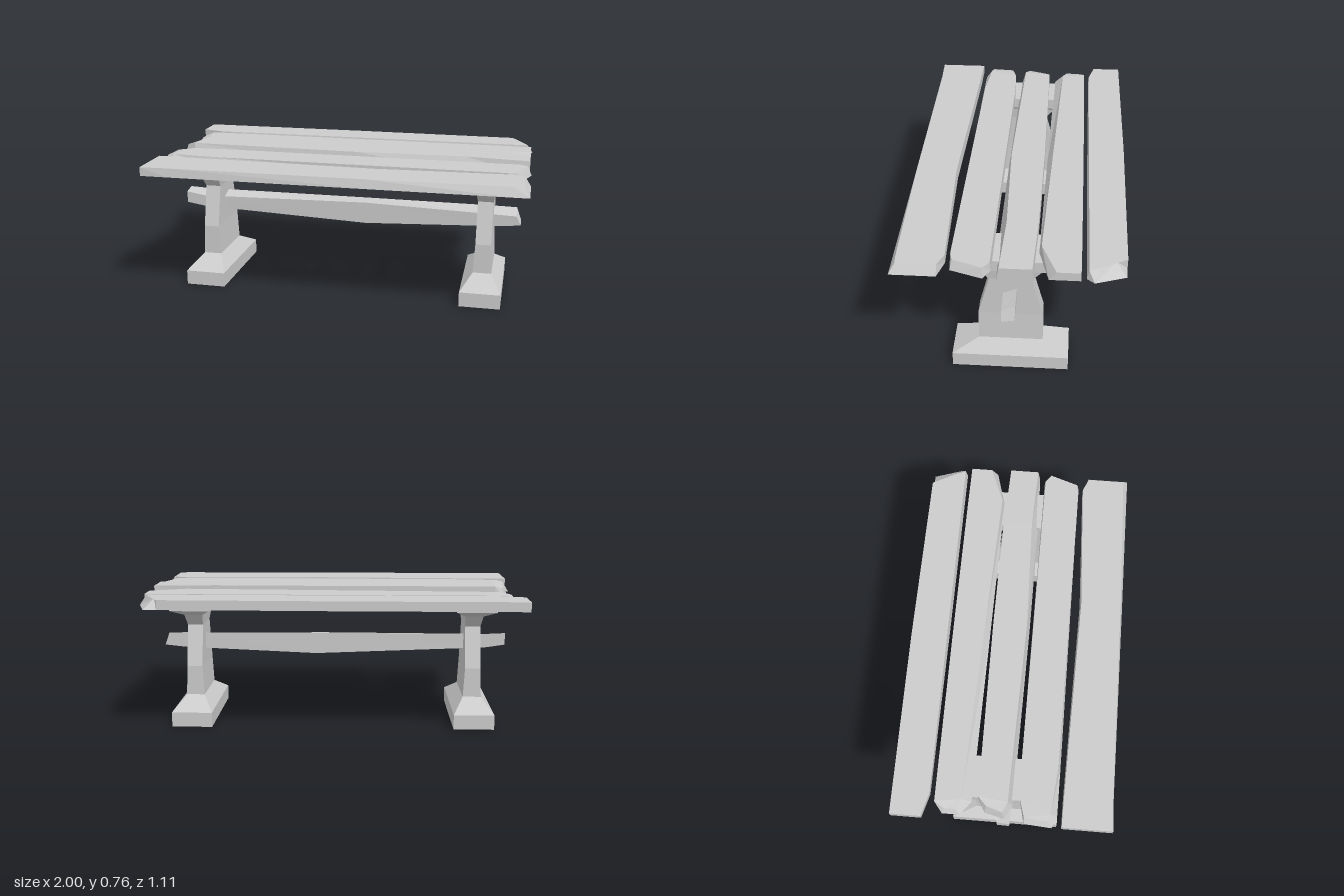
import * as THREE from 'three';

const material = new THREE.MeshStandardMaterial({ color: 0xcccccc, flatShading: true });

// Closed solid through a row of rings; corners run counter-clockwise seen from the last ring's end
function loft(name, rings) {
  const pos = [];
  const quad = (a, b, c, d) => pos.push(...a, ...b, ...c, ...a, ...c, ...d);
  for (let i = 0; i < rings.length - 1; i++) {
    const a = rings[i], b = rings[i + 1];
    for (let k = 0; k < 4; k++) {
      const n = (k + 1) % 4;
      quad(a[k], a[n], b[n], b[k]);
    }
  }
  quad(...[...rings[0]].reverse());
  quad(...rings[rings.length - 1]);
  const geometry = new THREE.BufferGeometry();
  geometry.setAttribute('position', new THREE.Float32BufferAttribute(pos, 3));
  geometry.computeVertexNormals();
  const mesh = new THREE.Mesh(geometry, material);
  mesh.name = name;
  return mesh;
}

// Rough-hewn plank. Station: back x, z, front x, z, then how far the top edge
// is chipped inward at the back, at the front and along x, and how far it drops.
function plank(name, yBottom, yTop, stations) {
  return loft(name, stations.map(([xb, zb, xf, zf, chipB = 0, chipF = 0, chipX = 0, drop = 0]) => [
    [xb + chipX, yTop - drop, zb + chipB],
    [xf + chipX, yTop - drop, zf - chipF],
    [xf, yBottom, zf],
    [xb, yBottom, zb],
  ]));
}

// Trestle: stacked rectangles from foot to head
const trestleLevels = [ // y, half width in x, half depth in z
  [0, 0.11, 0.295], [0.08, 0.11, 0.295], [0.148, 0.05, 0.162], [0.31, 0.042, 0.162],
  [0.535, 0.042, 0.105], [0.6, 0.05, 0.16], [0.64, 0.107, 0.275], [0.7, 0.107, 0.275],
];

function trestle(name, x) {
  return loft(name, trestleLevels.map(([y, w, d]) =>
    [[x + w, y, d], [x + w, y, -d], [x - w, y, -d], [x - w, y, d]]));
}

export function createModel() {
  const group = new THREE.Group();
  group.name = 'trestleTable';

  // Supports
  group.add(trestle('leftTrestle', 0.77), trestle('rightTrestle', -0.77));

  // Stretcher: x bottom, x top, y bottom, y top on the back and front edges
  const beam = [
    [-0.96, -0.96, 0.405, 0.483, 0.47],
    [-0.85, -0.85, 0.388, 0.478, 0.452],
    [0.1, 0.1, 0.348, 0.478, 0.468],
    [0.85, 0.85, 0.38, 0.476, 0.445],
    [0.96, 0.935, 0.392, 0.474, 0.442],
  ];
  group.add(loft('stretcher', beam.map(([xBot, xTop, yBot, yBack, yFront]) => [
    [xTop, yBack, -0.032], [xTop, yFront, 0.036], [xBot, yBot, 0.034], [xBot, yBot + 0.012, -0.03],
  ])));

  // Table top, back to front
  group.add(
    plank('plankBack', 0.695, 0.745, [
      [-1, -0.555, -1, -0.4],
      [-0.99, -0.555, -0.88, -0.367],
      [-0.05, -0.56, 0, -0.363, 0, 0.008],
      [0.88, -0.552, 0.97, -0.363, 0, 0.01],
      [0.95, -0.548, 1, -0.4, 0.05, 0.02, -0.05],
    ]),
    plank('plankMiddleBack', 0.697, 0.743, [
      [-0.97, -0.3, -0.97, -0.21, 0.01, 0.02, 0.02, 0.01],
      [-0.92, -0.34, -0.9, -0.158, 0, 0.05],
      [0, -0.342, 0, -0.146, 0, 0.03],
      [0.77, -0.34, 0.8, -0.137, 0, 0.012],
      [0.99, -0.338, 0.99, -0.19, 0, 0.035],
    ]),
    plank('plankMiddle', 0.676, 0.76, [
      [-0.945, -0.09, -0.97, 0.01, 0.01, 0.01, 0.02, 0.015],
      [-0.88, -0.125, -0.9, 0.05, 0, 0.025],
      [0.05, -0.132, 0.05, 0.062, 0, 0.015],
      [0.65, -0.128, 0.65, 0.063, 0, 0.035],
      [0.99, -0.12, 0.99, 0.052, 0.005, 0.012, 0, 0.006],
    ]),
    plank('plankMiddleFront', 0.697, 0.745, [
      [-0.99, 0.11, -1, 0.25, 0, 0.02, 0.025, 0.008],
      [-0.88, 0.085, -0.94, 0.275, 0, 0.035],
      [-0.7, 0.077, -0.7, 0.276, 0, 0.012],
      [0.94, 0.08, 0.88, 0.274, 0.005],
      [1, 0.115, 0.95, 0.272, 0, 0.01, -0.02],
    ]),
    plank('plankFront', 0.698, 0.745, [
      [-1, 0.298, -1, 0.552],
      [-0.85, 0.298, -0.85, 0.552, 0.003, 0.006],
      [0.2, 0.322, 0.2, 0.552, 0.006, 0.012],
      [0.9, 0.298, 0.92, 0.55, 0, 0.025],
      [1, 0.328, 1, 0.55, 0, 0.03, -0.03],
    ]),
  );

  return group;
}
